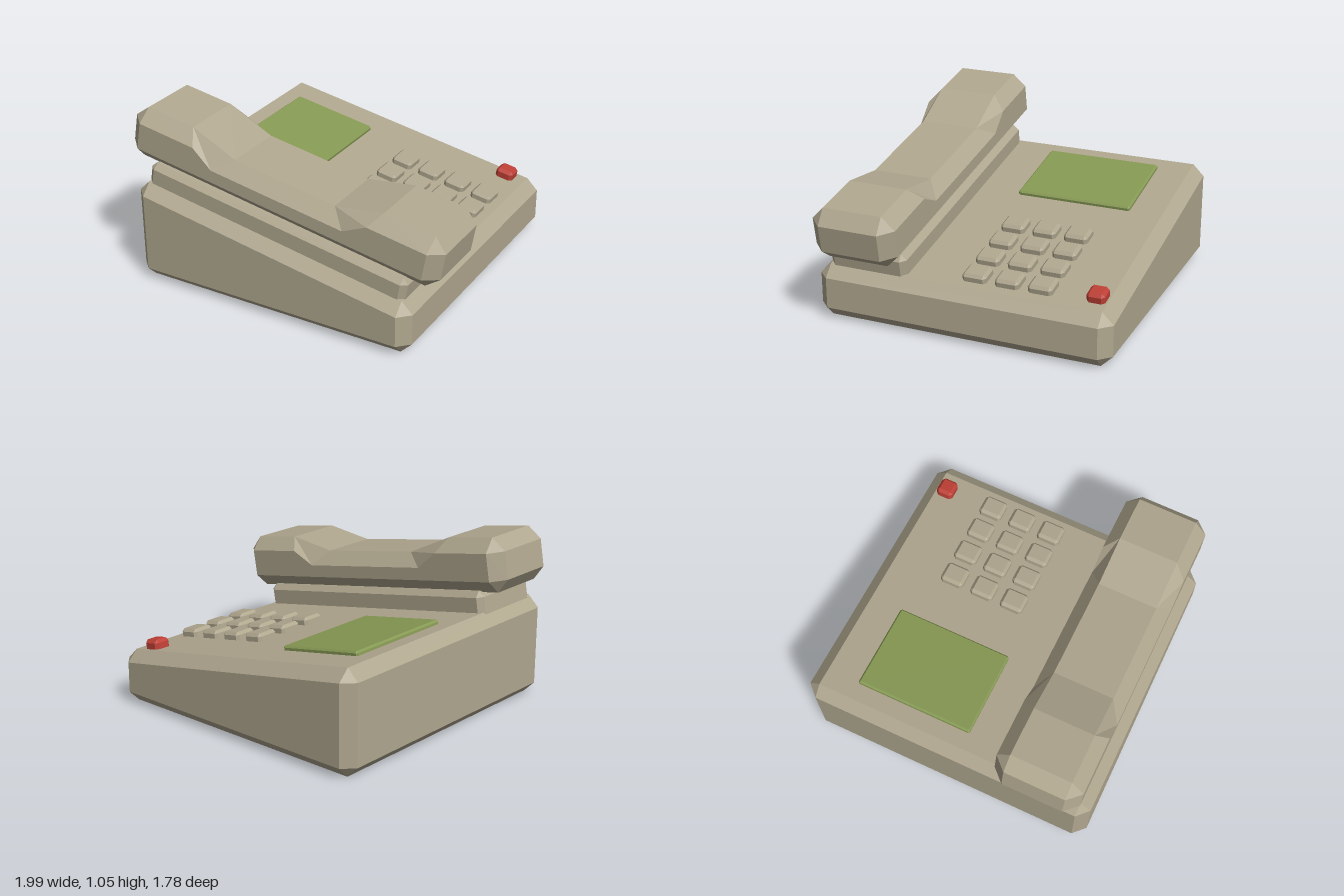
import * as THREE from 'three';

const beige = new THREE.MeshStandardMaterial({ color: 0xb0a78f });
beige.name = 'beige plastic';
const green = new THREE.MeshStandardMaterial({ color: 0x879a54 });
green.name = 'green screen';
const red = new THREE.MeshStandardMaterial({ color: 0xbf4036 });
red.name = 'red button';

const SLOPE = THREE.MathUtils.degToRad(10);
const SURFACE = 0.449; // height of the sloping top in the tilted frame

// Eight-sided cross-section at x; the side corners may sit at another x than the top ones
function ring(x, xSide, yTop, ySide, yLow, yBottom, zMid, half, bevel) {
  const inner = half - bevel;
  return [
    [x, yTop, zMid - inner], [x, yTop, zMid + inner],
    [xSide, ySide, zMid + half], [xSide, yLow, zMid + half],
    [xSide, yBottom, zMid + inner], [xSide, yBottom, zMid - inner],
    [xSide, yLow, zMid - half], [xSide, ySide, zMid - half],
  ];
}

// Skin the rings along +x with flat faces and close both ends
function loft(rings) {
  const pos = [];
  const tri = (a, b, c) => {
    const [p, q, r] = [a, b, c].map((v) => new THREE.Vector3(...v));
    if (q.sub(p).cross(r.sub(p)).length() > 1e-8) pos.push(...a, ...b, ...c);
  };
  for (let i = 0; i < rings.length - 1; i++) {
    for (let j = 0; j < 8; j++) {
      const k = (j + 1) % 8;
      const a = rings[i][j], b = rings[i][k], c = rings[i + 1][k], d = rings[i + 1][j];
      tri(a, b, c);
      tri(a, c, d);
    }
  }
  const first = rings[0], last = rings[rings.length - 1];
  for (let j = 1; j < 7; j++) {
    tri(first[0], first[j + 1], first[j]);
    tri(last[0], last[j], last[j + 1]);
  }
  const geo = new THREE.BufferGeometry();
  geo.setAttribute('position', new THREE.Float32BufferAttribute(pos, 3));
  geo.computeVertexNormals();
  return geo;
}

// Box with every edge chamfered; the top may slope from yLeft to yRight
function chamferBox(x0, x1, y0, yLeft, yRight, z0, z1, b) {
  const zMid = (z0 + z1) / 2, half = (z1 - z0) / 2;
  const end = (x, y) => ring(x, x, y - b, y - b, y0 + b, y0 + b, zMid, half - b, 0);
  const body = (x, y) => ring(x, x, y, y - b, y0 + b, y0, zMid, half, b);
  return loft([end(x0, yLeft), body(x0 + b, yLeft), body(x1 - b, yRight), end(x1, yRight)]);
}

function add(parent, name, geometry, material) {
  const mesh = new THREE.Mesh(geometry, material);
  mesh.name = name;
  parent.add(mesh);
  return mesh;
}

export function createModel() {
  const phone = new THREE.Group();
  phone.name = 'deskPhone';

  // Wedge-shaped body
  add(phone, 'base', chamferBox(-0.935, 0.84, 0, 0.61, 0.32, -0.89, 0.89, 0.068), beige);

  // Everything on top follows the slope
  const top = new THREE.Group();
  top.name = 'slopingTop';
  top.rotation.z = -SLOPE;
  phone.add(top);

  // Cradle under the handset
  add(top, 'cradle', chamferBox(-0.969, 0.711, 0.38, 0.572, 0.572, 0.34, 0.825, 0.033), beige);

  // Handset: raised ear and mouth ends with a lower grip between
  const zMid = 0.58, half = 0.257, bevel = 0.076;
  const low = 0.637, bottom = 0.561;
  const cap = (x) => ring(x, x, 0.8, 0.8, low, low, zMid, half - bevel, 0);
  const stations = [ // top x, side x, top y, side y
    [-1.051, -1.051, 0.878, 0.8], [-0.744, -0.686, 0.878, 0.8],
    [-0.451, -0.552, 0.79, 0.711], [0.195, 0.295, 0.79, 0.711],
    [0.483, 0.431, 0.878, 0.8], [0.792, 0.792, 0.878, 0.8],
  ];
  const rings = stations.map(([x, xs, y, ys]) => ring(x, xs, y, ys, low, bottom, zMid, half, bevel));
  add(top, 'handset', loft([cap(-1.127), ...rings, cap(0.869)]), beige);

  // Screen
  add(top, 'screen', chamferBox(-0.855, -0.312, 0.435, 0.475, 0.475, -0.625, 0.085, 0.01), green);

  // Keypad, four across and three deep
  const keypad = new THREE.Group();
  keypad.name = 'keypad';
  top.add(keypad);
  const keyGeo = chamferBox(-0.065, 0.065, -0.02, 0.046, 0.046, -0.072, 0.072, 0.017);
  for (let row = 0; row < 3; row++) {
    for (let col = 0; col < 4; col++) {
      const key = add(keypad, 'key', keyGeo, beige);
      key.position.set(0.043 + col * 0.181, SURFACE, -0.44 + row * 0.196);
    }
  }

  // Red button in the back corner
  const button = add(top, 'redButton',
    chamferBox(-0.055, 0.055, -0.03, 0.055, 0.055, -0.053, 0.053, 0.018), red);
  button.position.set(0.586, SURFACE, -0.758);

  return phone;
}
